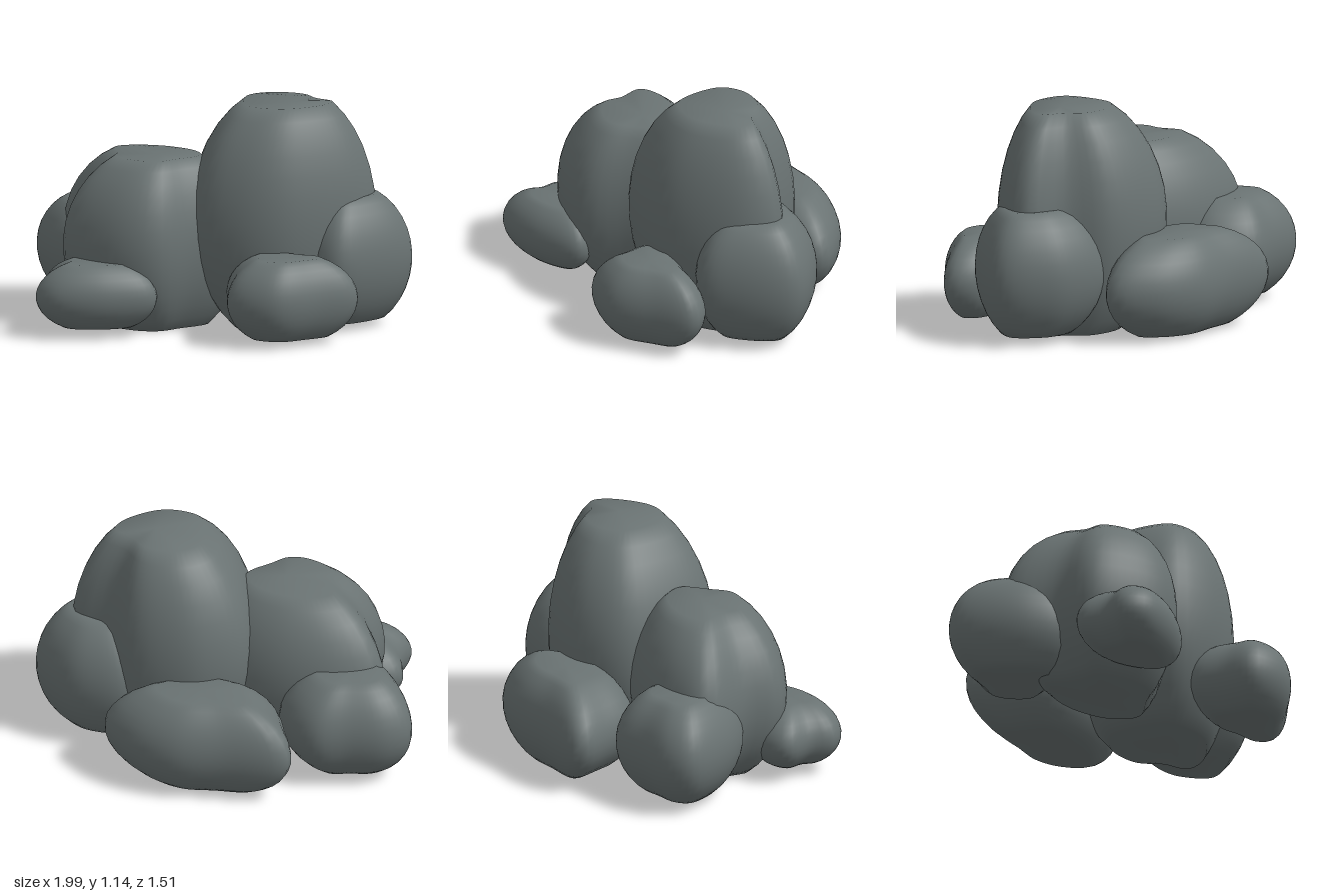
import * as THREE from 'three';

const SEGMENTS = 56;
const RINGS = 12;
const BOTTOM_CAP = 0.58;
const TOP_CAP = 0.48;

// A boulder: a smooth closed plan outline of [x, z] points, swept up a rounded
// profile whose poles are cut into flat caps.
function boulderGeometry(outline, y0, y1, centre) {
  const corners = outline.map(([x, z]) => new THREE.Vector3(x, 0, z));
  const middle = new THREE.Box3().setFromPoints(corners).getCenter(new THREE.Vector3());
  const [cx, cz] = centre ?? [middle.x, middle.z];
  const plan = new THREE.CatmullRomCurve3(corners, true, 'centripetal')
    .getSpacedPoints(SEGMENTS).slice(0, SEGMENTS);

  const positions = [];
  const index = [];
  const t0 = -Math.acos(BOTTOM_CAP);
  const t1 = Math.acos(TOP_CAP);
  for (let i = 0; i <= RINGS; i++) {
    const t = THREE.MathUtils.lerp(t0, t1, i / RINGS);
    const scale = Math.cos(t);
    const y = THREE.MathUtils.mapLinear(Math.sin(t), Math.sin(t0), Math.sin(t1), y0, y1);
    for (const p of plan) positions.push(cx + (p.x - cx) * scale, y, cz + (p.z - cz) * scale);
  }
  const bottom = positions.length / 3;
  const top = bottom + 1;
  positions.push(cx, y0, cz, cx, y1, cz);

  const last = RINGS * SEGMENTS;
  for (let j = 0; j < SEGMENTS; j++) {
    const k = (j + 1) % SEGMENTS;
    for (let i = 0; i < RINGS; i++) {
      const a = i * SEGMENTS + j, b = i * SEGMENTS + k;
      const c = a + SEGMENTS, d = b + SEGMENTS;
      index.push(a, c, b, b, c, d);
    }
    index.push(bottom, j, k, top, last + k, last + j);
  }
  const geometry = new THREE.BufferGeometry();
  geometry.setAttribute('position', new THREE.Float32BufferAttribute(positions, 3));
  geometry.setIndex(index);
  geometry.computeVertexNormals();
  return geometry;
}

export function createModel() {
  const group = new THREE.Group();
  group.name = 'boulderCluster';
  const stone = new THREE.MeshStandardMaterial({ color: 0x6a7373 });
  stone.name = 'stone grey';

  function addBoulder(name, y0, y1, outline, centre) {
    const mesh = new THREE.Mesh(boulderGeometry(outline, y0, y1, centre), stone);
    mesh.name = name;
    group.add(mesh);
  }

  // Two main boulders
  addBoulder('tallBoulder', 0, 1.145, [
    [-0.13, -0.2], [0.04, -0.4], [0.26, -0.45], [0.43, -0.42], [0.59, -0.28],
    [0.8, -0.2], [0.79, -0.02], [0.49, 0.31], [0.22, 0.37], [0.01, 0.3],
  ], [0.41, -0.04]);
  addBoulder('broadBoulder', 0, 0.87, [
    [-0.8, -0.05], [-0.64, -0.18], [-0.3, -0.23], [0.05, -0.12], [0.18, 0.08],
    [0, 0.34], [-0.14, 0.51], [-0.36, 0.54], [-0.66, 0.4], [-0.69, 0.2],
  ], [-0.22, 0.15]);

  // Smaller boulders around them
  addBoulder('leftSideBoulder', 0.04, 0.68, [
    [0.43, -0.39], [0.65, -0.43], [0.8, -0.39], [0.99, -0.21],
    [0.86, 0.1], [0.72, 0.22], [0.46, 0.08], [0.38, -0.2],
  ]);
  addBoulder('leftFrontBoulder', 0.035, 0.44, [
    [0.59, 0.2], [0.79, 0.21], [0.87, 0.3], [0.73, 0.48], [0.54, 0.65],
    [0.3, 0.63], [0.24, 0.48], [0.19, 0.3], [0.38, 0.18],
  ]);
  addBoulder('rightFrontBoulder', 0.05, 0.375, [
    [-0.75, 0.4], [-0.6, 0.3], [-0.3, 0.36], [-0.13, 0.51],
    [-0.34, 0.69], [-0.61, 0.75], [-0.72, 0.67], [-0.71, 0.55],
  ]);
  addBoulder('rightSideBoulder', 0.04, 0.56, [
    [-1, -0.21], [-0.92, -0.33], [-0.72, -0.4], [-0.56, -0.45],
    [-0.4, -0.37], [-0.31, -0.22], [-0.58, 0.2], [-0.8, 0.11],
  ]);
  addBoulder('backBoulder', 0.02, 0.515, [
    [-0.48, -0.62], [-0.15, -0.71], [0.11, -0.76], [0.35, -0.7], [0.52, -0.54],
    [0.42, -0.4], [0.1, -0.22], [-0.28, -0.24], [-0.41, -0.43],
  ]);
  return group;
}
